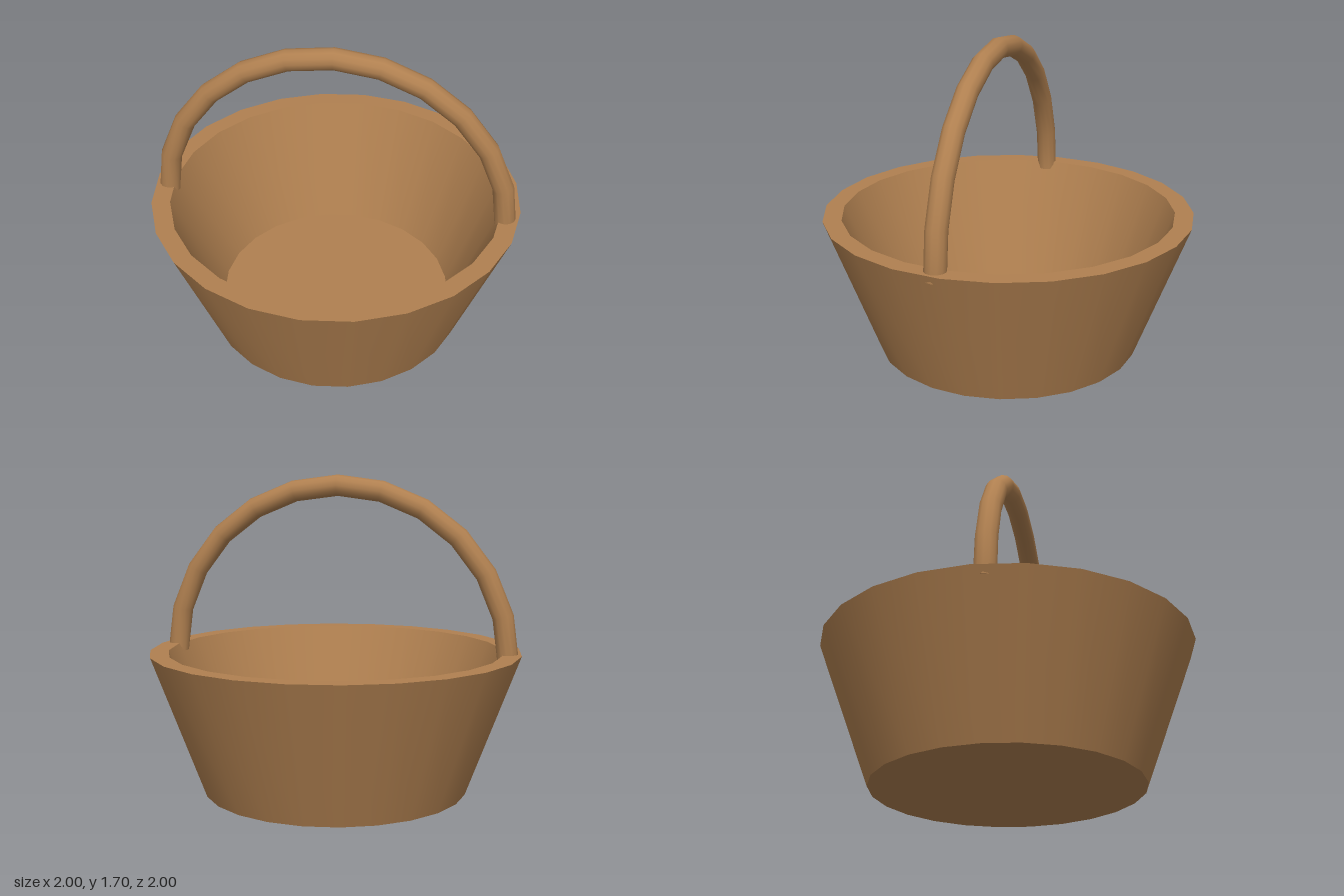
import * as THREE from 'three';
import { mergeGeometries } from 'three/addons/utils/BufferGeometryUtils.js';

export function createModel() {
  const wood = new THREE.MeshStandardMaterial({ color: 0xb08050 });
  wood.name = 'warm brown';
  const model = new THREE.Group();
  model.name = 'basket';

  const add = (name, geometry, parent = model) => {
    const mesh = new THREE.Mesh(geometry, wood);
    mesh.name = name;
    parent.add(mesh);
    return mesh;
  };

  // Bowl: one closed profile, each band turned separately so the rims stay crisp
  const profile = [[0, 0], [0.714, 0], [1, 0.765], [0.9, 0.765], [0.643, 0.095], [0, 0.095]]
    .map(([r, y]) => new THREE.Vector2(r, y));
  const bands = profile.slice(1).map((p, i) => new THREE.LatheGeometry([profile[i], p], 24));
  add('bowl', mergeGeometries(bands));

  // Handle: half ring with capped ends sunk into the rim
  const ring = 0.925, tube = 0.057;
  const handle = new THREE.Group();
  handle.name = 'handle';
  handle.position.set(0, 0.722, 0.056);
  model.add(handle);
  add('handleArch', new THREE.TorusGeometry(ring, tube, 12, 12, Math.PI), handle);
  for (const side of [-1, 1]) {
    const cap = add('handleEnd', new THREE.CircleGeometry(tube, 12), handle);
    cap.rotation.x = Math.PI / 2;
    cap.position.x = side * ring;
  }

  return model;
}
